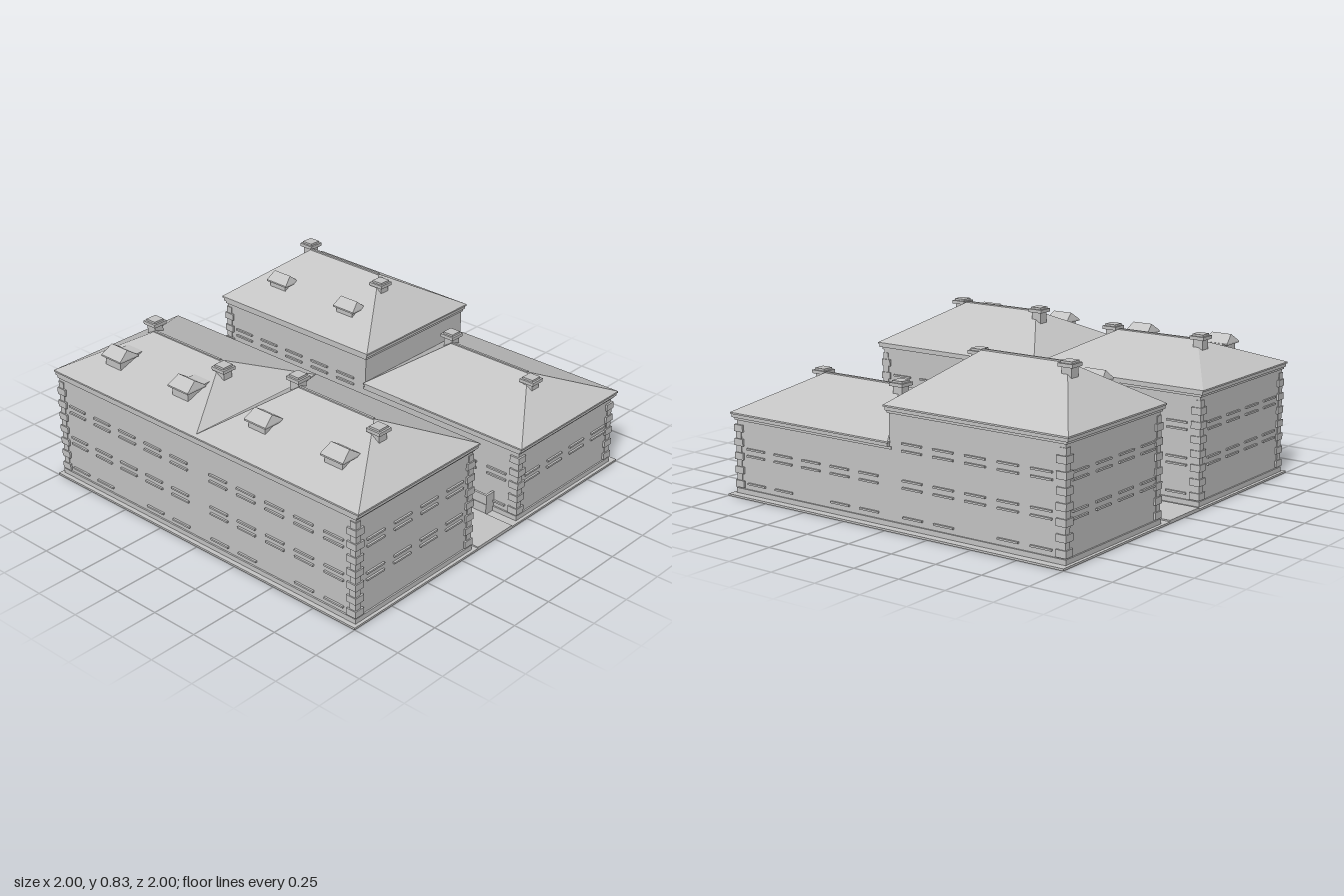
import * as THREE from 'three';

const stone = new THREE.MeshStandardMaterial({ color: 0xc4c4c4 });
stone.name = 'grey stone';

function add(parent, name, geometry) {
  const mesh = new THREE.Mesh(geometry, stone);
  mesh.name = name;
  parent.add(mesh);
  return mesh;
}

// Box given by its limits on each axis
function block(parent, name, x0, x1, y0, y1, z0, z1) {
  const mesh = add(parent, name, new THREE.BoxGeometry(x1 - x0, y1 - y0, z1 - z0));
  mesh.position.set((x0 + x1) / 2, (y0 + y1) / 2, (z0 + z1) / 2);
  return mesh;
}

// Hipped roof: rectangle at y0, ridge along x at height y1
function hipRoof(parent, name, x0, x1, z0, z1, y0, y1, r0, r1, rz) {
  const p = [[x0, y0, z0], [x1, y0, z0], [x1, y0, z1], [x0, y0, z1], [r0, y1, rz], [r1, y1, rz]];
  const faces = [3, 2, 5, 3, 5, 4, 2, 1, 5, 1, 0, 4, 1, 4, 5, 0, 3, 4, 0, 1, 2, 0, 2, 3];
  const geometry = new THREE.BufferGeometry();
  geometry.setAttribute('position', new THREE.Float32BufferAttribute(faces.flatMap(i => p[i]), 3));
  geometry.computeVertexNormals();
  return add(parent, name, geometry);
}

function chimney(parent, x, z, top) {
  const layers = [[0.027, -0.12, -0.027], [0.04, -0.027, -0.01], [0.03, -0.01, 0]];
  for (const [r, a, b] of layers) block(parent, 'chimney', x - r, x + r, top + a, top + b, z - r, z + r);
}

function dormer(parent, x, z, y, depth) {
  block(parent, 'dormerBody', x - 0.053, x + 0.053, y, y + 0.055, z - depth * 0.9, z + depth * 0.38);
  block(parent, 'dormerEave', x - 0.068, x + 0.068, y + 0.048, y + 0.056, z - depth / 2, z + depth / 2);
  hipRoof(parent, 'dormerRoof', x - 0.068, x + 0.068, z - depth / 2, z + depth / 2,
    y + 0.056, y + 0.097, x - 0.055, x + 0.055, z);
}

function house(name, o) {
  const g = new THREE.Group();
  g.name = name;
  const { walls: [x0, x1, z0, z1], roof: [e0, e1, f0, f1], eave, ridge } = o;
  const top = eave - 0.038, cx = o.side * 0.49, cz = (z0 + z1) / 2;
  block(g, 'walls', x0, x1, 0.01, top + 0.01, z0, z1);
  block(g, 'plinth', x0 - 0.008, x1 + 0.008, 0.01, 0.035, z0 - 0.008, z1 + 0.008);
  block(g, 'lowerCornice', x0 - 0.008, x1 + 0.008, top, eave - 0.025, z0 - 0.006, z1 + 0.006);
  block(g, 'cornice', e0 + 0.006, e1 - 0.006, eave - 0.025, eave - 0.008, f0 + 0.005, f1 - 0.005);
  block(g, 'eave', e0, e1, eave - 0.008, eave, f0, f1);

  // Roof with a raised ridge cap
  hipRoof(g, 'roof', e0, e1, f0, f1, eave, ridge, o.ridgeX[0], o.ridgeX[1], o.ridgeZ);
  block(g, 'ridgeCap', o.ridgeX[0], o.ridgeX[1], ridge - 0.015, ridge + 0.004, o.ridgeZ - 0.006, o.ridgeZ + 0.006);

  // Alternating corner stones
  for (let y = 0.04, i = 0; y + 0.034 < top; y += 0.035, i++) {
    const out = i % 2 ? 0.004 : 0.01, long = i % 2 ? 0.03 : 0.045;
    for (const z of [z0, z1]) {
      const inner = z === z0 ? 1 : -1, a = z - inner * out, b = z + inner * long;
      const x = o.side > 0 ? [x1 - long, x1 + out] : [x0 - out, x0 + long];
      block(g, 'cornerStone', x[0], x[1], y, y + 0.035, Math.min(a, b), Math.max(a, b));
    }
  }

  // Window sills and lintels on the long and outer walls
  const outer = o.side > 0 ? x1 : x0;
  for (const y of [0.06, 0.2, 0.235, 0.375, 0.41]) {
    if (y > top - 0.005) continue;
    for (let i = -2; i <= 2; i++) {
      if (y < 0.1 && i === 0) continue;
      const x = cx + i * 0.18;
      for (const z of [z0, z1])
        block(g, 'windowLedge', x - 0.057, x + 0.057, y, y + 0.009, z - 0.01, z + 0.01);
    }
    if (y < 0.1) continue;
    for (let i = -1.5; i <= 1.5; i++) {
      const z = cz + i * 0.182;
      block(g, 'windowLedge', outer - 0.01, outer + 0.01, y, y + 0.009, z - 0.058, z + 0.058);
    }
  }

  // Two chimneys, the first near the ridge and the second lower
  chimney(g, o.side > 0 ? 0.21 : -0.763, o.ridgeZ - 0.043, o.chimney);
  chimney(g, o.side > 0 ? 0.78 : -0.195, o.ridgeZ + 0.043, o.chimney - 0.025);
  if (o.dormer) {
    for (const x of o.side > 0 ? [0.25, 0.72] : [-0.725, -0.255]) dormer(g, x, ...o.dormer);
  }
  return g;
}

// Raised doorstep with a parapet on three sides
function porch(parent, x) {
  const g = new THREE.Group();
  g.name = 'porch';
  block(g, 'step', x - 0.1, x + 0.1, 0.01, 0.065, -0.195, -0.13);
  block(g, 'frontParapet', x - 0.1, x + 0.1, 0.065, 0.115, -0.145, -0.133);
  for (const s of [-1, 1]) {
    const c = x + s * 0.094;
    block(g, 'sideParapet', c - 0.006, c + 0.006, 0.065, 0.115, -0.195, -0.133);
  }
  parent.add(g);
}

export function createModel() {
  const model = new THREE.Group();
  model.name = 'townBlock';

  block(model, 'groundPlate', -1, 1, 0, 0.01, -1, 1);
  block(model, 'pavement', -1, 1, 0.01, 0.017, -0.13, 0.13);

  model.add(house('frontRightHouse', {
    side: 1, walls: [0, 0.975, 0.166, 0.968], roof: [-0.02, 1, 0.145, 0.98], eave: 0.585, ridge: 0.775,
    ridgeX: [0.26, 0.715], ridgeZ: 0.557, chimney: 0.807, dormer: [0.785, 0.64, 0.12],
  }));
  model.add(house('frontLeftHouse', {
    side: -1, walls: [-0.975, 0, 0.166, 0.968], roof: [-1, 0, 0.145, 0.98], eave: 0.585, ridge: 0.735,
    ridgeX: [-0.72, -0.26], ridgeZ: 0.557, chimney: 0.775, dormer: [0.785, 0.635, 0.12],
  }));
  model.add(house('backLeftHouse', {
    side: -1, walls: [-0.975, 0.005, -0.95, -0.192], roof: [-1, 0.025, -0.97, -0.177], eave: 0.585, ridge: 0.81,
    ridgeX: [-0.72, -0.245], ridgeZ: -0.573, chimney: 0.83, dormer: [-0.355, 0.645, 0.095],
  }));
  model.add(house('backRightHouse', {
    side: 1, walls: [0, 0.975, -0.95, -0.192], roof: [0, 1, -0.97, -0.177], eave: 0.415, ridge: 0.58,
    ridgeX: [0.25, 0.725], ridgeZ: -0.573, chimney: 0.615,
  }));

  for (const x of [-0.765, -0.49, 0.47, 0.74]) porch(model, x);
  return model;
}
